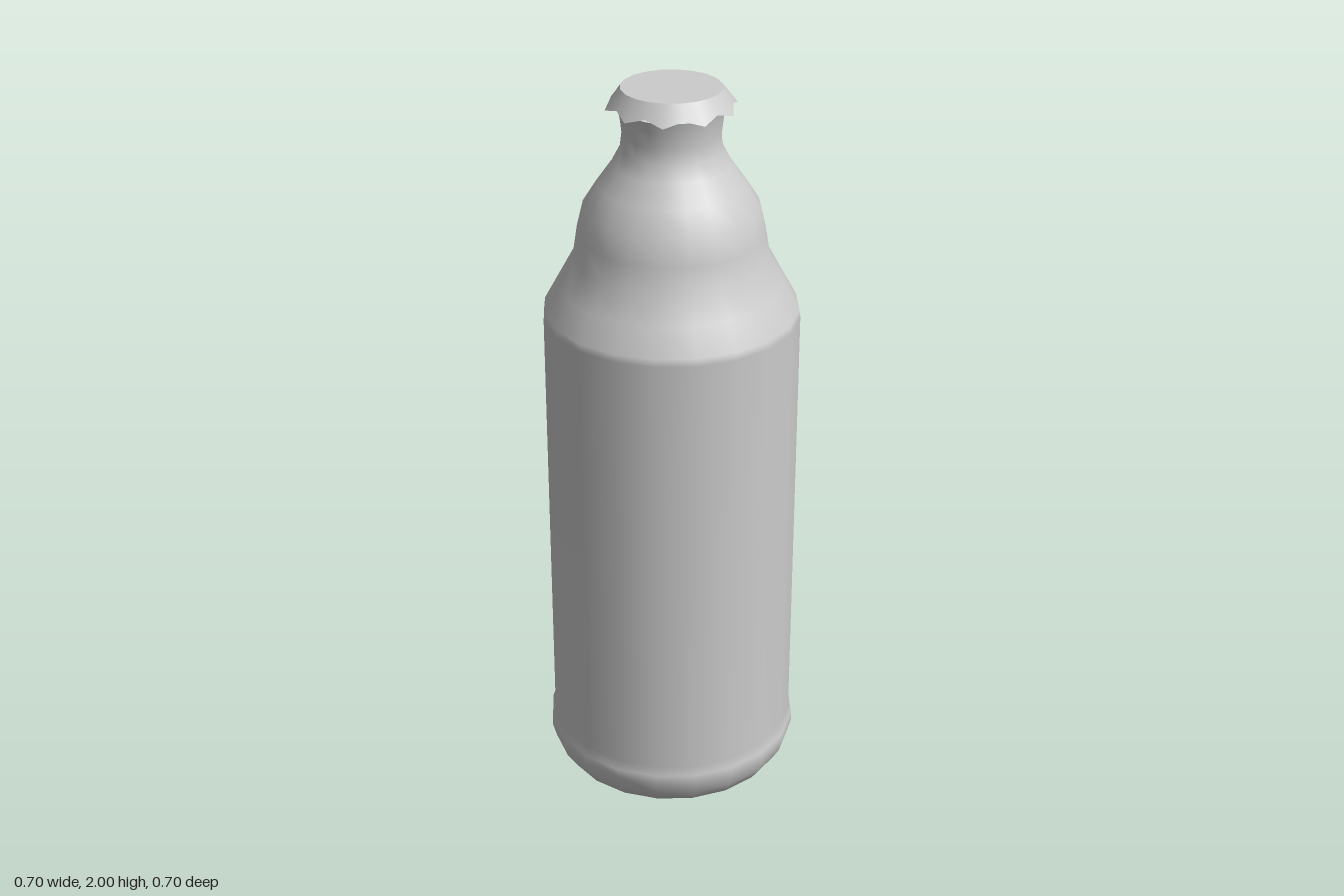
import * as THREE from 'three';

const SIDES = 20;
const points = (list) => list.map(([r, y]) => new THREE.Vector2(r, y));

export function createModel() {
  const model = new THREE.Group();
  model.name = 'bottle';
  const grey = new THREE.MeshStandardMaterial({ color: 0xcccccc });
  const thin = new THREE.MeshStandardMaterial({ color: 0xcccccc, side: THREE.DoubleSide });

  const add = (name, geometry, material, parent = model) => {
    const mesh = new THREE.Mesh(geometry, material);
    mesh.name = name;
    parent.add(mesh);
    return mesh;
  };

  // Bottle body: flat foot, rounded base bulge, straight wall, stepped shoulder, neck and lip
  add('bottleBody', new THREE.LatheGeometry(points([
    [0, 0], [0.265, 0], [0.312, 0.02], [0.338, 0.06], [0.349, 0.1], [0.348, 0.125], [0.339, 0.15],
    [0.339, 1.385], [0.336, 1.405], [0.298, 1.475], [0.257, 1.55], [0.247, 1.615], [0.23, 1.685],
    [0.192, 1.745], [0.153, 1.8], [0.132, 1.84], [0.127, 1.88], [0.132, 1.925], [0.138, 1.95],
  ]), SIDES), grey);

  // Crown cap: skirt with a crimped rim that alternates out-and-down with in-and-up
  const cap = new THREE.Group();
  cap.name = 'cap';
  model.add(cap);
  const skirt = new THREE.LatheGeometry(points([[0.155, 1.962], [0.13, 2]]), SIDES);
  const pos = skirt.attributes.position;
  for (let i = 0; i <= SIDES; i += 2) {
    const v = i * 2; // two profile points per column, rim first
    const grow = 0.17 / 0.155;
    pos.setXYZ(v, pos.getX(v) * grow, 1.948, pos.getZ(v) * grow);
  }
  add('capSkirt', skirt, thin, cap);

  // Flat top disc of the cap
  const disc = add('capTop', new THREE.CircleGeometry(0.13, SIDES), thin, cap);
  disc.rotation.x = -Math.PI / 2;
  disc.position.y = 2;

  return model;
}
